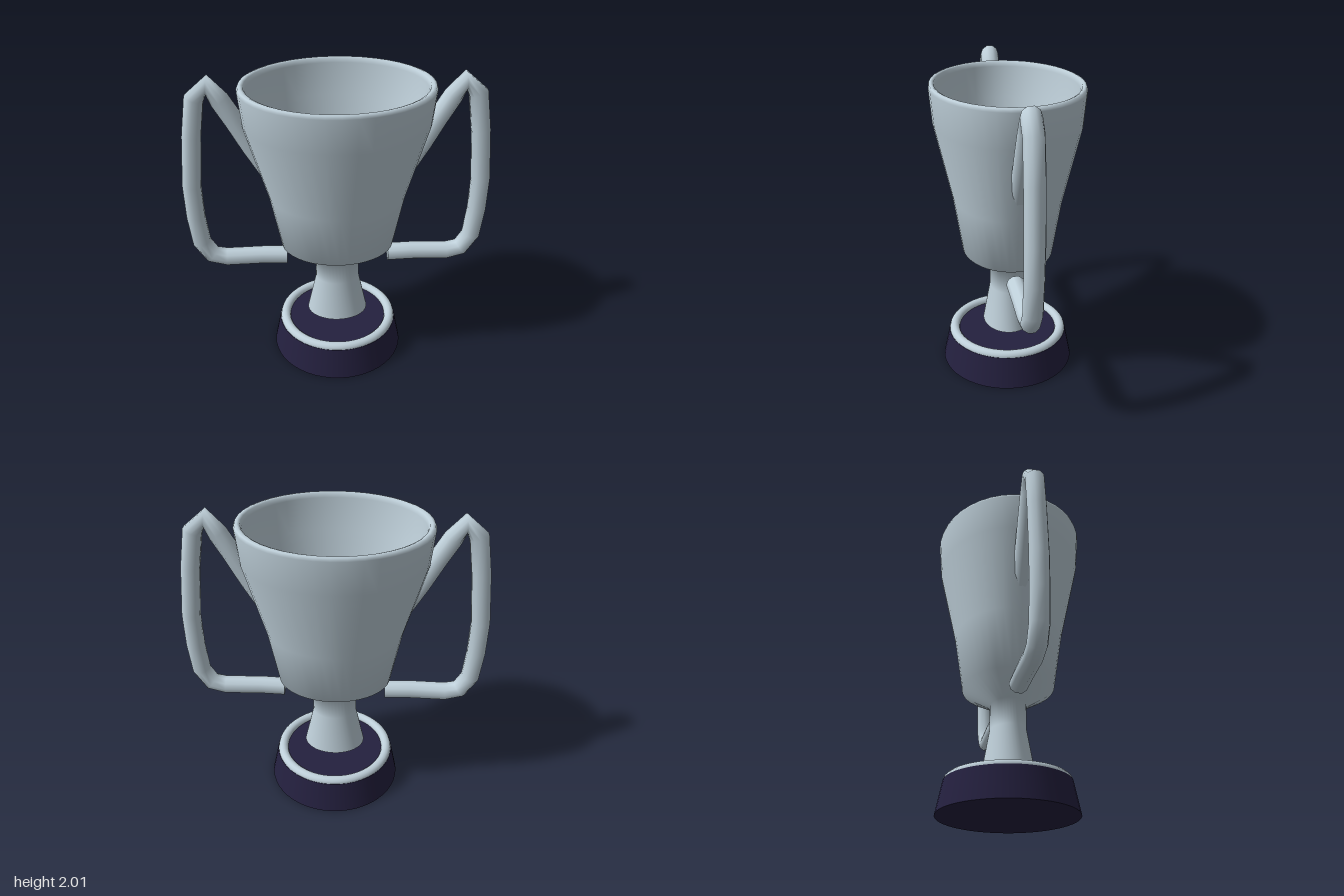
import * as THREE from 'three';

// Curve that visits each listed point, giving a tube with crisp bends
class Polyline extends THREE.Curve {
  constructor(points) {
    super();
    this.points = points;
  }
  getPoint(t, target = new THREE.Vector3()) {
    const f = t * (this.points.length - 1);
    const i = Math.min(Math.floor(f), this.points.length - 2);
    return target.lerpVectors(this.points[i], this.points[i + 1], f - i);
  }
  getPointAt(t, target) {
    return this.getPoint(t, target);
  }
  getTangentAt(t, target) {
    return this.getTangent(t, target);
  }
  getTangent(t, target = new THREE.Vector3()) {
    const d = 0.5 / (this.points.length - 1);
    const a = this.getPoint(Math.max(0, t - d));
    const b = this.getPoint(Math.min(1, t + d));
    return target.subVectors(b, a).normalize();
  }
}

const HANDLE = [
  [0.338, 0.725], [0.5, 0.731], [0.74, 0.725], [0.835, 0.75], [0.897, 0.85],
  [0.918, 1.05], [0.922, 1.28], [0.89, 1.62], [0.852, 1.865], [0.772, 1.948],
  [0.7, 1.85], [0.62, 1.71], [0.53, 1.54], [0.425, 1.36],
];

export function createModel() {
  const silver = new THREE.MeshStandardMaterial({ color: 0xbfd0da, side: THREE.DoubleSide });
  silver.name = 'silver';
  const dark = new THREE.MeshStandardMaterial({ color: 0x24203f });
  dark.name = 'darkBase';

  const model = new THREE.Group();
  model.name = 'trophy';
  const add = (name, geometry, material, parent = model) => {
    const mesh = new THREE.Mesh(geometry, material);
    mesh.name = name;
    parent.add(mesh);
    return mesh;
  };

  // Round plinth with a ring on its upper edge
  add('base', new THREE.CylinderGeometry(0.402, 0.445, 0.21, 48), dark).position.y = 0.105;
  const ring = add('baseRing', new THREE.TorusGeometry(0.366, 0.034, 12, 48), silver);
  ring.rotation.x = Math.PI / 2;
  ring.position.y = 0.21;

  // Oval stem and bowl: up the outside, over the rim, down the inside
  const profile = [
    [0.205, 0.28], [0.146, 0.55], [0.145, 0.72], [0.37, 0.83], [0.44, 1.2],
    [0.578, 1.7], [0.6, 1.92], [0.592, 1.94], [0.575, 1.945], [0.558, 1.938],
    [0.55, 1.91], [0.53, 1.7], [0.405, 1.2], [0.34, 0.86], [0.19, 0.765],
  ].map(([x, y]) => new THREE.Vector2(x, y));
  add('cup', new THREE.LatheGeometry(profile, 40), silver).scale.z = 0.8;

  // Mirrored handles with closed ends
  for (const side of [1, -1]) {
    const handle = new THREE.Group();
    handle.name = side > 0 ? 'leftHandle' : 'rightHandle';
    const points = HANDLE.map(([x, y]) => new THREE.Vector3(side * x, y, 0));
    const curve = new Polyline(points);
    add('handleTube', new THREE.TubeGeometry(curve, points.length - 1, 0.061, 10), silver, handle);
    for (const t of [0, 1]) {
      const cap = add('handleEnd', new THREE.CircleGeometry(0.061, 10), silver, handle);
      const end = curve.getPoint(t);
      cap.position.copy(end);
      cap.lookAt(end.clone().addScaledVector(curve.getTangent(t), t ? 1 : -1));
    }
    model.add(handle);
  }
  return model;
}
